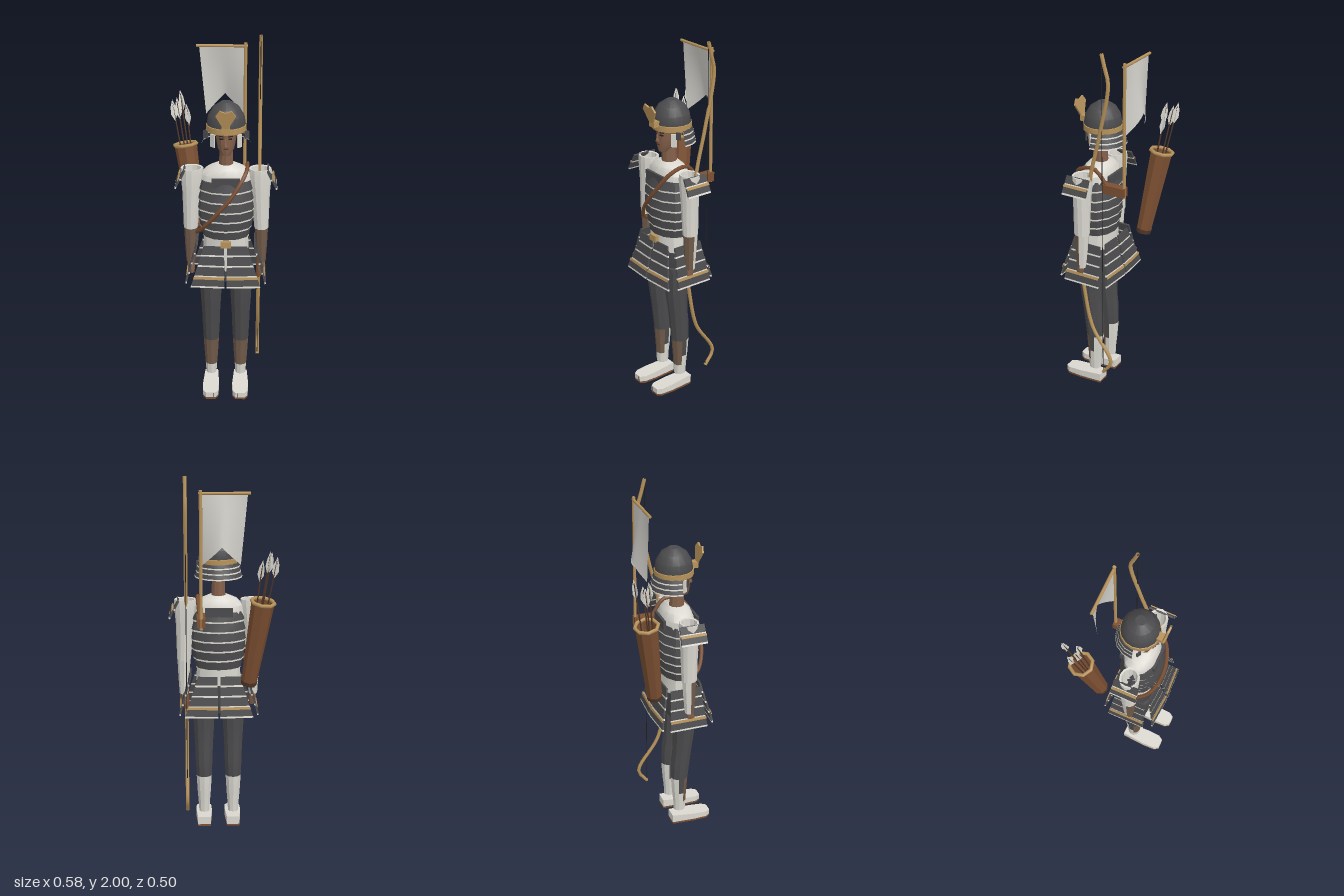
import * as THREE from 'three';
import { toCreasedNormals } from 'three/addons/utils/BufferGeometryUtils.js';

const V = (x, y, z) => new THREE.Vector3(x, y, z);

function makeMaterials() {
  const colors = { charcoal: 0x4b4b4d, cloth: 0xdad8d0, gold: 0xb8935a, leather: 0x7d5033, skin: 0x84604a,
    guard: 0x705a4a, darkWood: 0x54382a, ink: 0x262322, banner: 0xcfcdc7 };
  const m = {};
  for (const [name, color] of Object.entries(colors)) {
    m[name] = new THREE.MeshStandardMaterial({ color, side: THREE.DoubleSide });
    m[name].name = name;
  }
  return m;
}

function add(parent, name, geometry, material, pos = [0, 0, 0]) {
  const mesh = new THREE.Mesh(geometry, material);
  mesh.name = name;
  mesh.position.set(...pos);
  parent.add(mesh);
  return mesh;
}

// Skin over elliptical rings [y, cx, cz, rx, rz], lowest first; pick(row, side) chooses a material index
function loft(rings, n, { pick = () => 0, caps = true, crease = 0.55 } = {}) {
  const pos = [], g = new THREE.BufferGeometry();
  const pt = (r, j) => {
    const t = (j / n) * Math.PI * 2;
    return [r[1] + Math.sin(t) * r[3], r[0], r[2] + Math.cos(t) * r[4]];
  };
  for (let i = 0; i < rings.length - 1; i++) for (let j = 0; j < n; j++) {
    const a = pt(rings[i], j), b = pt(rings[i], j + 1), c = pt(rings[i + 1], j), d = pt(rings[i + 1], j + 1);
    g.addGroup(pos.length / 3, 6, pick(i, j));
    pos.push(...a, ...b, ...d, ...a, ...d, ...c);
  }
  if (caps) {
    const lo = rings[0], hi = rings[rings.length - 1];
    g.addGroup(pos.length / 3, n * 6, 0);
    for (let j = 0; j < n; j++) {
      pos.push(lo[1], lo[0], lo[2], ...pt(lo, j + 1), ...pt(lo, j));
      pos.push(hi[1], hi[0], hi[2], ...pt(hi, j), ...pt(hi, j + 1));
    }
  }
  g.setAttribute('position', new THREE.Float32BufferAttribute(pos, 3));
  return toCreasedNormals(g, crease);
}

// Flat plate from outline points
function plate(points, depth) {
  const shape = new THREE.Shape(points.map(p => new THREE.Vector2(...p)));
  return new THREE.ExtrudeGeometry(shape, { depth, bevelEnabled: false });
}

function rod(parent, name, a, b, r0, r1, sides, material) {
  const dir = b.clone().sub(a);
  const mesh = add(parent, name, new THREE.CylinderGeometry(r1, r0, dir.length(), sides), material);
  mesh.position.copy(a).lerp(b, 0.5);
  mesh.quaternion.setFromUnitVectors(V(0, 1, 0), dir.normalize());
  return mesh;
}

// Hanging laced armour panel: edges are [left, right] at top and bottom
function panel(parent, m, name, top, bottom, rows, height, pos, yaw, lean) {
  const g = new THREE.Group(), h = height / rows;
  g.name = name;
  const edge = (k, y) => THREE.MathUtils.lerp(top[k], bottom[k], y / height);
  const strip = (y0, y1, depth) => plate(
    [[edge(0, y1), -y1], [edge(1, y1), -y1], [edge(1, y0), -y0], [edge(0, y0), -y0]], depth);
  for (let i = 0; i < rows; i++) {
    const y = i * h, z = i * 0.003;
    add(g, 'lamellarRow', strip(y, y + h - 0.01, 0.01), m.charcoal, [0, 0, z]);
    add(g, 'lacing', strip(y + h - 0.01, y + h, 0.008), m.cloth, [0, 0, z]);
    if (i === rows - 1) add(g, 'goldTrim', strip(y - 0.004, y + 0.01, 0.005), m.gold, [0, 0, z + 0.009]);
  }
  g.position.set(...pos);
  g.rotation.set(-lean, yaw, 0, 'YXZ');
  parent.add(g);
}

function buildLimbs(body, m, s) {
  // Leg with trousers, greave and ankle wrap
  const x = s * 0.082;
  const legMats = [m.charcoal, m.cloth, m.guard];
  add(body, 'leg', loft([
    [0.08, x, 0.072, 0.03, 0.034], [0.14, x, 0.072, 0.034, 0.037], [0.2, x, 0.07, 0.039, 0.042],
    [0.3, x, 0.07, 0.045, 0.05], [0.4, x, 0.076, 0.05, 0.055], [0.47, x, 0.084, 0.052, 0.054],
    [0.6, x, 0.094, 0.06, 0.062], [0.76, x, 0.092, 0.063, 0.068]], 10, {
    pick: (i, j) => {
      if (i === 0) return 1;
      if (i > 2) return 0;
      if (j < 2 || j > 7) return 2;
      return j === 2 || j === 7 ? (i === 2 ? 0 : 1) : 1;
    } }), legMats);

  // Foot with sole and split toe
  const outline = [[-0.036, -0.02], [0.036, -0.02], [0.045, -0.15], [0.042, -0.225], [0.026, -0.25],
    [-0.026, -0.25], [-0.042, -0.225], [-0.045, -0.15]];
  const upper = plate(outline, 0.044).rotateX(-Math.PI / 2);
  const p = upper.attributes.position;
  for (let i = 0; i < p.count; i++) if (p.getY(i) > 0.02) p.setY(i, 0.047 - p.getZ(i) * 0.07);
  upper.computeVertexNormals();
  add(body, 'foot', upper, m.cloth, [x, 0.011, 0]);
  add(body, 'sole', plate(outline, 0.011).rotateX(-Math.PI / 2), m.leather, [x, 0, 0]);
  add(body, 'toeSplit', new THREE.BoxGeometry(0.004, 0.025, 0.008), m.ink, [x - s * 0.015, 0.025, 0.247]);

  // Open hexagonal sleeve, forearm guard and hand
  const ax = s * 0.18, bx = s * 0.192;
  const sleeve = [[0.98, s * 0.19, 0.083, 0.038, 0.043], [1.18, s * 0.183, 0.083, 0.05, 0.048],
    [1.29, ax, 0.083, 0.062, 0.054], [1.32, ax, 0.083, 0.06, 0.052]];
  const hex = r => loft(r, 12, { caps: false, crease: 0.3 });
  add(body, 'sleeve', hex(sleeve), m.cloth);
  add(body, 'sleeveLining', hex([[1.2, ax, 0.083, 0.038, 0.036], [1.318, ax, 0.083, 0.048, 0.042],
    [1.32, ax, 0.083, 0.06, 0.052]]), m.cloth);
  add(body, 'forearm', loft([[0.78, bx, 0.086, 0.024, 0.027], [0.88, s * 0.191, 0.085, 0.031, 0.035],
    [1.0, s * 0.19, 0.083, 0.037, 0.042]], 8, { pick: (i, j) => (j < 2 || j > 5 ? 1 : 0) }), [m.cloth, m.guard]);
  add(body, 'hand', loft([[0.715, bx - s * 0.006, 0.094, 0.014, 0.02], [0.745, bx - s * 0.003, 0.092, 0.02, 0.027],
    [0.785, bx, 0.087, 0.018, 0.022]], 8), m.skin);
  panel(body, m, 'shoulderPlate', [-0.068, 0.068], [-0.073, 0.073], 2, 0.105, [s * 0.215, 1.317, 0.083], s * Math.PI / 2, 0.45);

  // Skirt panels
  const top = s > 0 ? [0.008, 0.115] : [-0.115, -0.008], low = s > 0 ? [0.002, 0.185] : [-0.185, -0.002];
  panel(body, m, 'frontSkirtPanel', top, low, 4, 0.228, [0, 0.905, 0.178], s * 0.06, 0.2);
  panel(body, m, 'backSkirtPanel', top, low, 4, 0.228, [0, 0.905, -0.018], Math.PI + s * 0.06, 0.2);
  panel(body, m, 'sideSkirtPanel', [-0.085, 0.085], [-0.107, 0.107], 4, 0.228, [s * 0.15, 0.905, 0.076], s * Math.PI / 2, 0.23);
}

function buildTorso(body, m) {
  add(body, 'hips', loft([[0.68, 0, 0.083, 0.105, 0.06], [0.76, 0, 0.083, 0.14, 0.08], [0.86, 0, 0.083, 0.125, 0.085]], 12), m.charcoal);
  add(body, 'waistCloth', loft([[0.85, 0, 0.083, 0.124, 0.09], [0.945, 0, 0.083, 0.118, 0.092]], 12), m.cloth);
  add(body, 'sashTail', plate([[-0.02, 0.9], [0.02, 0.9], [0.004, 0.76], [-0.004, 0.76]], 0.006), m.cloth, [0, 0, 0.176]);
  add(body, 'beltBuckle', new THREE.BoxGeometry(0.055, 0.035, 0.02), m.gold, [0, 0.918, 0.182]);
  add(body, 'shoulders', loft([[1.23, 0, 0.078, 0.142, 0.092], [1.29, 0, 0.078, 0.135, 0.085],
    [1.325, 0, 0.08, 0.1, 0.07], [1.345, 0, 0.08, 0.05, 0.048]], 14), m.cloth);

  // Cuirass of overlapping bands, each edged with lacing
  const rx = [0.12, 0.135, 0.147, 0.154, 0.153, 0.147, 0.14], h = 0.055;
  for (let i = 0; i < 6; i++) {
    const y = 0.93 + i * h, a = rx[i] + 0.003, b = rx[i + 1] - 0.003, k = 0.73;
    add(body, 'cuirassLacing', loft([[y, 0, 0.083, a, a * k], [y + 0.012, 0, 0.083, a, a * k]], 12), m.cloth);
    add(body, 'cuirassBand', loft([[y + 0.01, 0, 0.083, a + 0.002, a * k + 0.003], [y + h, 0, 0.083, b, b * k]], 12), m.charcoal);
  }
  for (const z of [0.172, -0.014])
    add(body, 'breastPlateTop', new THREE.BoxGeometry(0.15, 0.05, 0.014), m.charcoal, [0, 1.265, z]);
}

function buildHead(body, m) {
  add(body, 'neck', loft([[1.32, 0, 0.078, 0.04, 0.042], [1.44, 0, 0.082, 0.036, 0.04]], 10), m.skin);
  add(body, 'head', loft([[1.405, 0, 0.11, 0.024, 0.034], [1.435, 0, 0.1, 0.043, 0.05],
    [1.49, 0, 0.092, 0.053, 0.06], [1.57, 0, 0.088, 0.056, 0.064]], 12), m.skin);
  const nose = add(body, 'nose', new THREE.ConeGeometry(0.012, 0.045, 4), m.skin, [0, 1.487, 0.154]);
  nose.scale.z = 1.2;
  add(body, 'mouth', new THREE.BoxGeometry(0.026, 0.005, 0.006), m.darkWood, [0, 1.447, 0.15]);

  // Helmet bowl, brow band, crest
  const lathe = (pts, n, a = 0, l = Math.PI * 2) =>
    toCreasedNormals(new THREE.LatheGeometry(pts.map(p => new THREE.Vector2(...p)), n, a, l), 0.5);
  const at = [0, 0, 0.062];
  add(body, 'helmetBowl', lathe([[0.1, 1.53], [0.102, 1.56], [0.095, 1.605], [0.07, 1.648], [0.028, 1.677], [0, 1.677]], 16), m.charcoal, at);
  add(body, 'browBand', lathe([[0.1, 1.526], [0.106, 1.526], [0.106, 1.556], [0.1, 1.558]], 16), m.gold, at);
  add(body, 'crestMount', new THREE.BoxGeometry(0.043, 0.032, 0.04), m.gold, [0, 1.565, 0.172]);
  const crest = add(body, 'crest', plate([[-0.014, 0], [0.014, 0], [0.052, 0.07], [0.03, 0.1], [0, 0.088], [-0.03, 0.1], [-0.052, 0.07]], 0.01),
    m.gold, [0, 1.575, 0.186]);
  crest.rotation.x = 0.2;

  // Flared neck guard around the back
  for (let i = 0; i < 3; i++) {
    const y = 1.535 - i * 0.028, r = 0.104 + i * 0.007;
    add(body, 'neckGuardRow', lathe([[r + 0.01, y - 0.022], [r, y]], 8, Math.PI * 0.48, Math.PI * 1.04), m.charcoal, at);
    add(body, 'neckGuardLacing', lathe([[r + 0.012, y - 0.029], [r + 0.01, y - 0.022]], 8, Math.PI * 0.48, Math.PI * 1.04), m.cloth, at);
  }
  for (const s of [-1, 1]) {
    add(body, 'eye', new THREE.BoxGeometry(0.02, 0.008, 0.006), m.ink, [s * 0.022, 1.5, 0.144]).rotation.y = s * 0.35;
    add(body, 'brow', new THREE.BoxGeometry(0.024, 0.005, 0.006), m.ink, [s * 0.023, 1.514, 0.144]).rotation.y = s * 0.35;
    add(body, 'cheekFlap', new THREE.BoxGeometry(0.03, 0.07, 0.008), m.cloth, [s * 0.07, 1.475, 0.1]).rotation.y = s * 0.8;
    add(body, 'helmetWing', new THREE.BoxGeometry(0.025, 0.04, 0.008), m.charcoal, [s * 0.108, 1.51, 0.1]).rotation.y = s * 0.5;
  }
}

function buildGear(root, m) {
  // Banner with swallow-tail hem, bellied backwards
  const cloth = new THREE.PlaneGeometry(1, 1, 10, 6), p = cloth.attributes.position;
  for (let i = 0; i < p.count; i++) {
    const u = p.getX(i) + 0.5, v = 0.5 - p.getY(i);
    const drop = 0.27 + 0.1 * Math.abs(2 * u - 1);
    p.setXYZ(i, THREE.MathUtils.lerp(-0.12 + 0.035 * v, 0.115, u), 1.92 - v * drop, -0.124 - 0.05 * Math.sin(Math.PI * u) * v);
  }
  cloth.computeVertexNormals();
  add(root, 'bannerCloth', cloth, m.banner);
  rod(root, 'bannerPole', V(0.124, 1.2, -0.123), V(0.124, 1.94, -0.123), 0.009, 0.009, 8, m.gold);
  rod(root, 'bannerCrossbar', V(-0.135, 1.923, -0.123), V(0.135, 1.923, -0.123), 0.008, 0.008, 8, m.gold);
  add(root, 'bannerBracket', new THREE.BoxGeometry(0.045, 0.05, 0.13), m.leather, [0.124, 1.235, -0.066]);

  // Quiver, rim and arrows
  const lo = V(-0.132, 0.9, -0.102), hi = V(-0.2, 1.36, -0.168), axis = hi.clone().sub(lo).normalize();
  const tube = rod(root, 'quiver', lo, hi, 0.042, 0.062, 8, m.leather);
  tube.geometry = toCreasedNormals(new THREE.CylinderGeometry(0.062, 0.042, lo.distanceTo(hi), 8, 1, true), 0.2);
  rod(root, 'quiverBase', lo.clone().addScaledVector(axis, -0.012), lo.clone().addScaledVector(axis, 0.012), 0.042, 0.045, 8, m.darkWood);
  const rim = add(root, 'quiverRim', new THREE.TorusGeometry(0.062, 0.01, 6, 8), m.gold);
  rim.position.copy(hi);
  rim.quaternion.setFromUnitVectors(V(0, 0, 1), axis);
  [[-0.03, 0.005, 0], [0.008, -0.03, 0.04], [0.03, 0.012, -0.02], [-0.005, 0.03, 0.02]].forEach(([x, z, dy], k) => {
    const off = V(x, 0, z), tip = hi.clone().addScaledVector(axis, 0.23 + dy).addScaledVector(off, 1.2);
    rod(root, 'arrowShaft', lo.clone().addScaledVector(off, 0.5).addScaledVector(axis, 0.02), tip, 0.004, 0.004, 5, m.darkWood);
    for (const turn of [0, Math.PI / 2]) {
      const f = add(root, 'arrowFletching', plate([[0, -0.1], [0.018, -0.06], [0.014, -0.02], [0, 0.02], [-0.014, -0.02], [-0.018, -0.06]], 0.002), m.cloth);
      f.position.copy(tip);
      f.quaternion.setFromUnitVectors(V(0, 1, 0), axis);
      f.rotateY(turn + k * 0.6);
    }
  });

  // Shoulder strap running from left shoulder to right hip
  const path = new THREE.CatmullRomCurve3([V(0.13, 1.24, -0.03), V(0.14, 1.335, 0.05), V(0.13, 1.31, 0.15),
    V(0.06, 1.2, 0.202), V(-0.03, 1.09, 0.203), V(-0.1, 1.0, 0.16), V(-0.135, 0.95, 0.09)]);
  add(root, 'strap', new THREE.TubeGeometry(path, 24, 0.011, 5), m.leather);

  // Long asymmetric bow held at the left hand
  const bx = 0.204;
  const bow = new THREE.CatmullRomCurve3([[2.0, -0.037], [1.93, -0.055], [1.845, -0.075], [1.55, -0.02], [1.34, 0.03], [1.0, 0.082],
    [0.75, 0.094], [0.64, 0.08], [0.41, 0.03], [0.21, -0.088], [0.13, -0.037]].map(([y, z]) => V(bx, y, z)));
  add(root, 'bow', new THREE.TubeGeometry(bow, 60, 0.01, 6), m.gold);
  rod(root, 'bowGrip', V(bx, 0.69, 0.087), V(bx, 0.81, 0.094), 0.014, 0.014, 8, m.leather);
  rod(root, 'bowString', V(bx, 0.13, -0.037), V(bx, 2.0, -0.037), 0.002, 0.002, 4, m.ink);
}

export function createModel() {
  const m = makeMaterials(), root = new THREE.Group(), body = new THREE.Group();
  root.name = 'armouredArcher';
  body.name = 'figure';
  body.position.x = 0.027;
  root.add(body);
  buildTorso(body, m);
  buildHead(body, m);
  for (const s of [-1, 1]) buildLimbs(body, m, s);
  buildGear(root, m);
  return root;
}
